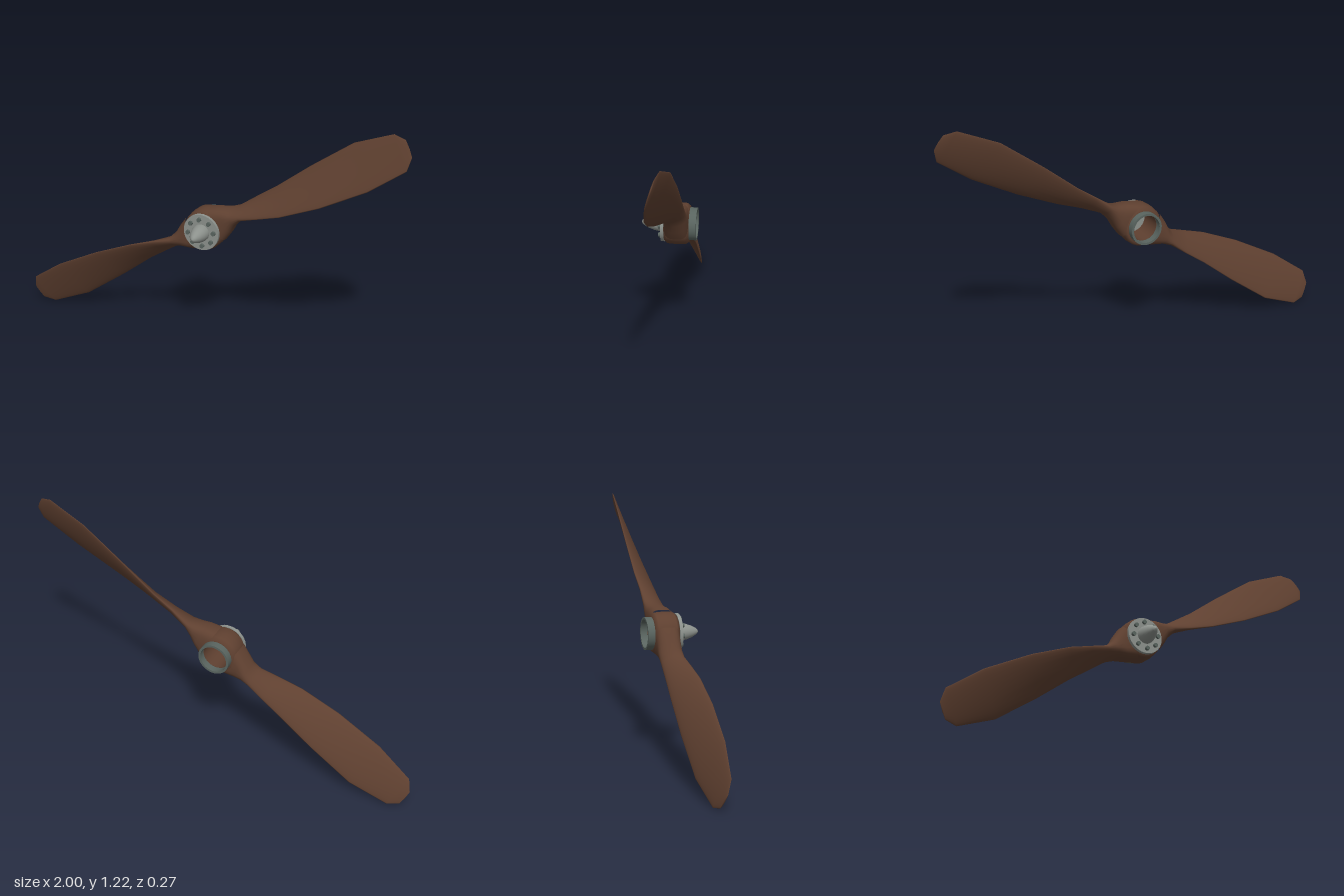
import * as THREE from 'three';

const mat = (name, color, side = THREE.FrontSide) => {
  const m = new THREE.MeshStandardMaterial({ color, side });
  m.name = name;
  return m;
};

// Lathe about the z axis; 'sharp' repeats each point so every corner is creased
function turned(name, profile, material, sharp = false, sides = 32) {
  const pts = profile.flatMap(([r, z]) => {
    const p = new THREE.Vector2(r, z);
    return sharp ? [p, p.clone()] : [p];
  });
  const mesh = new THREE.Mesh(new THREE.LatheGeometry(pts, sides).rotateX(Math.PI / 2), material);
  mesh.name = name;
  return mesh;
}

// Twisted blade lofted along +x from lens-shaped sections
function bladeGeometry() {
  // [distance, centre y, centre z, half chord, half thickness, pitch degrees, roundness exponent]
  const stations = [
    [0.068, 0.0, -0.040, 0.060, 0.088, 90, 0.6],
    [0.120, 0.003, -0.040, 0.059, 0.066, 85, 0.75],
    [0.160, 0.006, -0.041, 0.058, 0.043, 78, 0.9],
    [0.205, 0.007, -0.041, 0.058, 0.026, 70, 1.0],
    [0.300, 0.002, -0.038, 0.070, 0.020, 53, 1.2],
    [0.420, -0.006, -0.036, 0.087, 0.017, 45, 1.3],
    [0.630, -0.003, -0.036, 0.109, 0.015, 34, 1.3],
    [0.882, 0.006, -0.040, 0.120, 0.013, 25, 1.3],
    [1.088, 0.003, -0.043, 0.089, 0.009, 18, 1.3],
    [1.132, 0.006, -0.045, 0.042, 0.004, 15, 1.3],
  ];
  const n = 24, pos = [], index = [];
  const power = (v, e) => Math.sign(v) * Math.abs(v) ** e;
  for (const [u, cy, cz, chord, thick, pitch, e] of stations) {
    const b = THREE.MathUtils.degToRad(pitch);
    for (let j = 0; j < n; j++) {
      const t = (j / n) * Math.PI * 2;
      const c = chord * power(Math.cos(t), Math.min(e, 1));
      const h = thick * power(Math.sin(t), e);
      pos.push(u, cy + c * Math.cos(b) + h * Math.sin(b), cz - c * Math.sin(b) + h * Math.cos(b));
    }
  }
  for (let i = 0; i < stations.length - 1; i++) {
    for (let j = 0; j < n; j++) {
      const a = i * n + j, b = i * n + ((j + 1) % n);
      index.push(a, b, a + n, b, b + n, a + n);
    }
  }
  // Tip cap
  const last = (stations.length - 1) * n, tip = pos.length / 3;
  pos.push(1.135, 0.006, -0.045);
  for (let j = 0; j < n; j++) index.push(last + j, last + ((j + 1) % n), tip);

  const g = new THREE.BufferGeometry();
  g.setAttribute('position', new THREE.Float32BufferAttribute(pos, 3));
  g.setIndex(index);
  g.computeVertexNormals();
  return g;
}

export function createModel() {
  const wood = mat('brown wood', 0x5f4030);
  const steel = mat('light steel', 0x8c918c);
  const darkSteel = mat('dark steel', 0x59645f);

  const model = new THREE.Group();
  model.name = 'propeller';
  const rotor = new THREE.Group();
  rotor.name = 'rotor';
  rotor.position.y = 0.612;
  rotor.rotation.z = THREE.MathUtils.degToRad(29.5);
  model.add(rotor);

  // Two opposite blades
  const blade = bladeGeometry();
  ['leftBlade', 'rightBlade'].forEach((name, i) => {
    const m = new THREE.Mesh(blade, wood);
    m.name = name;
    m.rotation.z = i * Math.PI;
    rotor.add(m);
  });

  // Wooden hub with an open bore
  rotor.add(turned('hub', [
    [0.068, 0.02], [0.068, -0.1], [0.068, -0.1], [0.088, -0.1], [0.1, -0.085],
    [0.103, -0.04], [0.1, 0.005], [0.088, 0.02], [0.068, 0.02],
  ], wood));

  // Rear collar
  rotor.add(turned('rearCollar', [
    [0.069, -0.098], [0.069, -0.135], [0.08, -0.135], [0.08, -0.098],
  ], darkSteel, true));

  // Front plate and spinner
  rotor.add(turned('frontPlate', [
    [0, 0.02], [0.092, 0.02], [0.092, 0.036], [0, 0.036],
  ], steel, true));
  rotor.add(turned('spinner', [
    [0.043, 0.034], [0.043, 0.05], [0.038, 0.075], [0.028, 0.103], [0.015, 0.126], [0.007, 0.133], [0, 0.135],
  ], steel));

  // Ring of bolts
  const bolt = new THREE.CylinderGeometry(0.011, 0.011, 0.014, 8).rotateX(Math.PI / 2);
  for (let i = 0; i < 8; i++) {
    const a = ((i + 0.5) / 8) * Math.PI * 2;
    const m = new THREE.Mesh(bolt, darkSteel);
    m.name = 'bolt';
    m.position.set(0.068 * Math.cos(a), 0.068 * Math.sin(a), 0.041);
    rotor.add(m);
  }
  return model;
}
